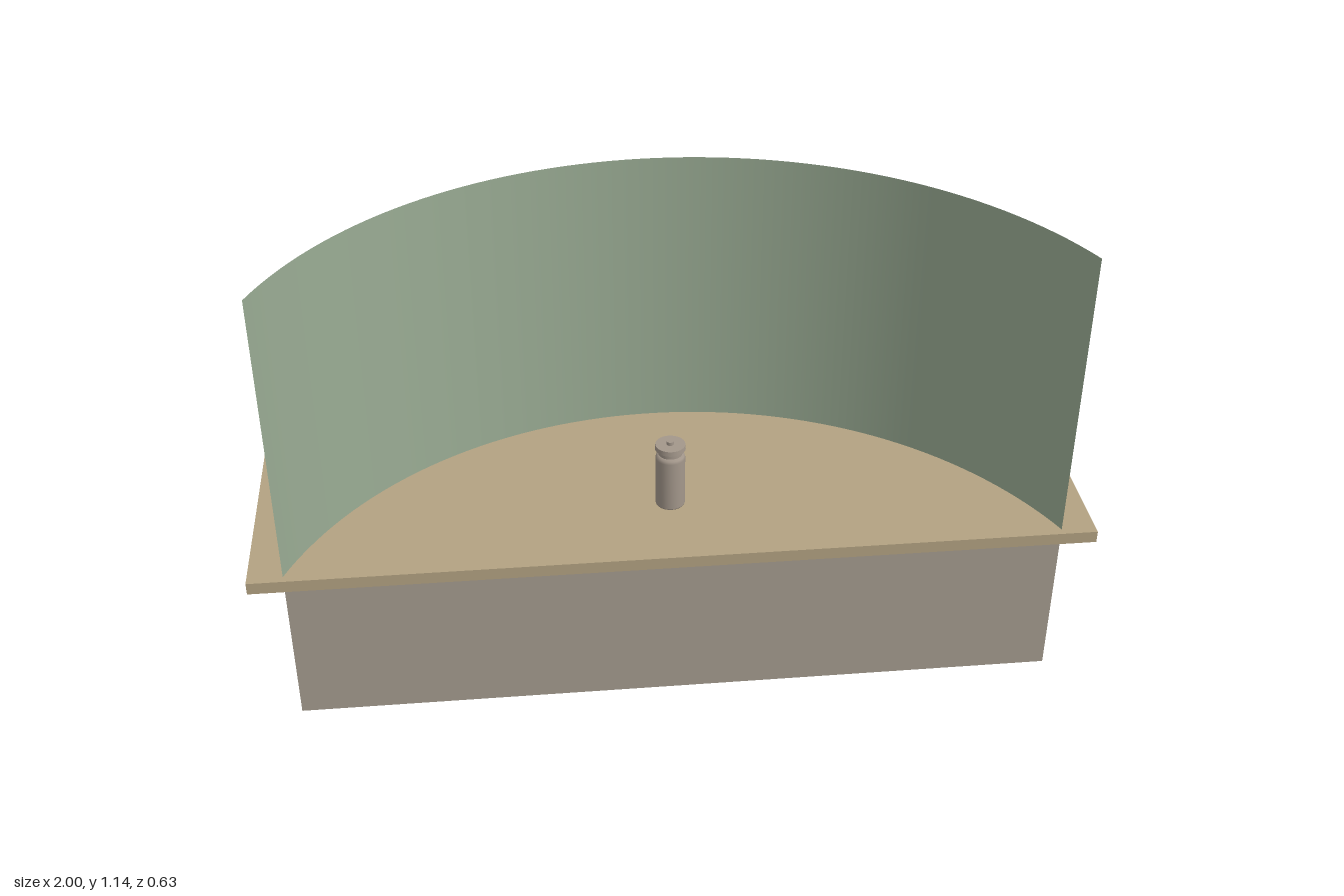
import * as THREE from 'three';

const material = (name, color, side = THREE.FrontSide) => {
  const m = new THREE.MeshStandardMaterial({ color, side });
  m.name = name;
  return m;
};

export function createModel() {
  const model = new THREE.Group();
  model.name = 'counterWithCurvedScreen';

  const tan = material('tan board', 0xb3a282);
  const taupe = material('taupe panel', 0xa59c8f, THREE.DoubleSide);
  const green = material('sage green', 0x9aac94, THREE.DoubleSide);
  const metal = material('warm grey canister', 0xa3978b);

  const add = (name, geometry, mat, x, y, z, parent = model) => {
    const mesh = new THREE.Mesh(geometry, mat);
    mesh.name = name;
    mesh.position.set(x, y, z);
    parent.add(mesh);
    return mesh;
  };

  // Flat counter board
  add('counterBoard', new THREE.BoxGeometry(2, 0.03, 0.63), tan, 0, 0.395, 0);

  // Thin panel hanging below the front edge
  add('frontPanel', new THREE.PlaneGeometry(1.834, 0.38), taupe, 0, 0.19, 0.297);

  // Curved screen: a circular arc bulging to the back
  const radius = 0.996;
  const half = Math.asin(0.917 / radius);
  add('curvedScreen',
    new THREE.CylinderGeometry(radius, radius, 0.728, 64, 1, true, Math.PI - half, half * 2),
    green, 0, 0.774, radius - 0.31);

  // Small canister: body with rounded shoulder, neck, lid and knob
  const canister = new THREE.Group();
  canister.name = 'canister';
  canister.position.set(0, 0.41, 0.09);
  model.add(canister);
  const body = [[0, 0], [0.035, 0], [0.036, 0.003], [0.036, 0.132], [0.034, 0.139], [0.028, 0.144], [0, 0.144]]
    .map(([r, y]) => new THREE.Vector2(r, y));
  add('canisterBody', new THREE.LatheGeometry(body, 32), metal, 0, 0, 0, canister);
  add('canisterNeck', new THREE.CylinderGeometry(0.029, 0.029, 0.016, 32), metal, 0, 0.15, 0, canister);
  add('canisterLid', new THREE.CylinderGeometry(0.036, 0.037, 0.012, 32), metal, 0, 0.163, 0, canister);
  add('canisterKnob', new THREE.CylinderGeometry(0.009, 0.009, 0.01, 16), metal, 0, 0.173, 0, canister);

  return model;
}
